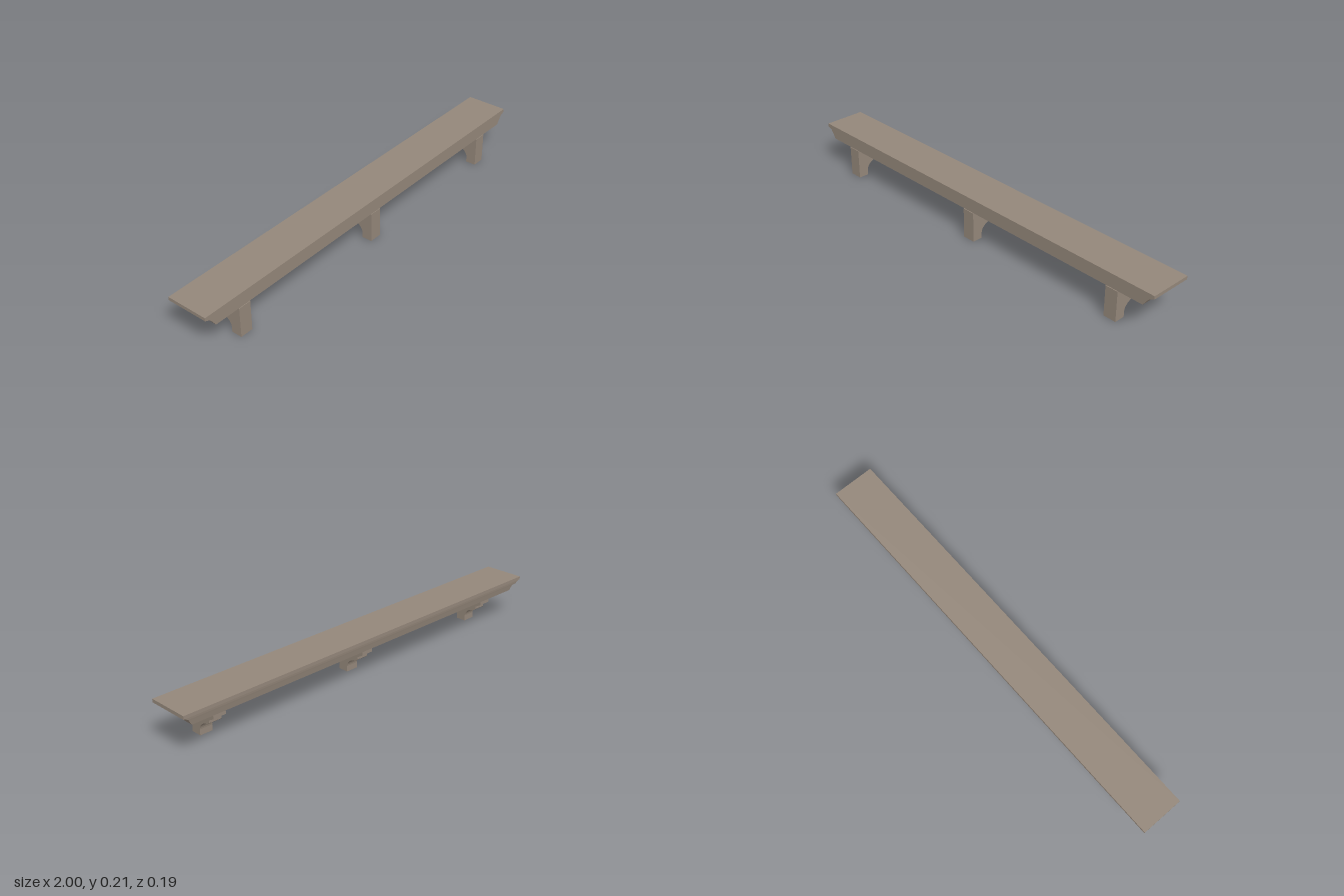
import * as THREE from 'three';

const material = new THREE.MeshStandardMaterial({ color: 0x94877a, flatShading: true });
const FLAT_Z = 0.097;

// Stack of rectangles, each [y, half width, z of the moulded edge]; the +z side stays flat.
function createShelf(levels) {
  const rings = levels.map(([y, w, z]) => [
    [-w, y, FLAT_Z], [w, y, FLAT_Z], [w, y, z], [-w, y, z],
  ]);
  const positions = [];
  const quad = (a, b, c, d) => positions.push(...a, ...b, ...c, ...a, ...c, ...d);
  for (let i = 0; i < rings.length - 1; i++) {
    const low = rings[i], high = rings[i + 1];
    for (let k = 0; k < 4; k++) {
      const n = (k + 1) % 4;
      quad(low[k], low[n], high[n], high[k]);
    }
  }
  const top = rings[rings.length - 1], bottom = rings[0];
  quad(top[0], top[1], top[2], top[3]);
  quad(bottom[3], bottom[2], bottom[1], bottom[0]);

  const geometry = new THREE.BufferGeometry();
  geometry.setAttribute('position', new THREE.Float32BufferAttribute(positions, 3));
  geometry.computeVertexNormals();
  const mesh = new THREE.Mesh(geometry, material);
  mesh.name = 'shelf';
  return mesh;
}

// Side outline of a bracket, drawn with shape x = -z.
function createBracketGeometry(width) {
  const shape = new THREE.Shape();
  shape.moveTo(-FLAT_Z, 0);
  shape.lineTo(-0.048, 0);
  shape.lineTo(-0.048, 0.026);
  shape.bezierCurveTo(-0.047, 0.048, -0.026, 0.066, 0.001, 0.07);
  shape.quadraticCurveTo(0.01, 0.072, 0.015, 0.078);
  shape.lineTo(0.015, 0.09);
  shape.lineTo(0.045, 0.108);
  shape.lineTo(0.045, 0.14);
  shape.lineTo(-FLAT_Z, 0.14);
  const geometry = new THREE.ExtrudeGeometry(shape, {
    depth: width, bevelEnabled: false, curveSegments: 8,
  });
  geometry.translate(0, 0, -width / 2);
  geometry.rotateY(Math.PI / 2);
  return geometry;
}

export function createModel() {
  const group = new THREE.Group();
  group.name = 'mantelShelf';

  // Shelf with stepped moulding on the ends and along the -z edge
  group.add(createShelf([
    [0.143, 0.95, -0.075],
    [0.17, 0.968, -0.08],
    [0.176, 0.974, -0.093],
    [0.181, 0.976, -0.094],
    [0.19, 0.996, -0.095],
    [0.191, 1.0, -0.097],
    [0.206, 1.0, -0.097],
  ]));

  // Three supporting brackets
  const bracketGeometry = createBracketGeometry(0.06);
  [['rightBracket', -0.8], ['middleBracket', 0], ['leftBracket', 0.8]].forEach(([name, x]) => {
    const bracket = new THREE.Mesh(bracketGeometry, material);
    bracket.name = name;
    bracket.position.x = x;
    group.add(bracket);
  });

  return group;
}
